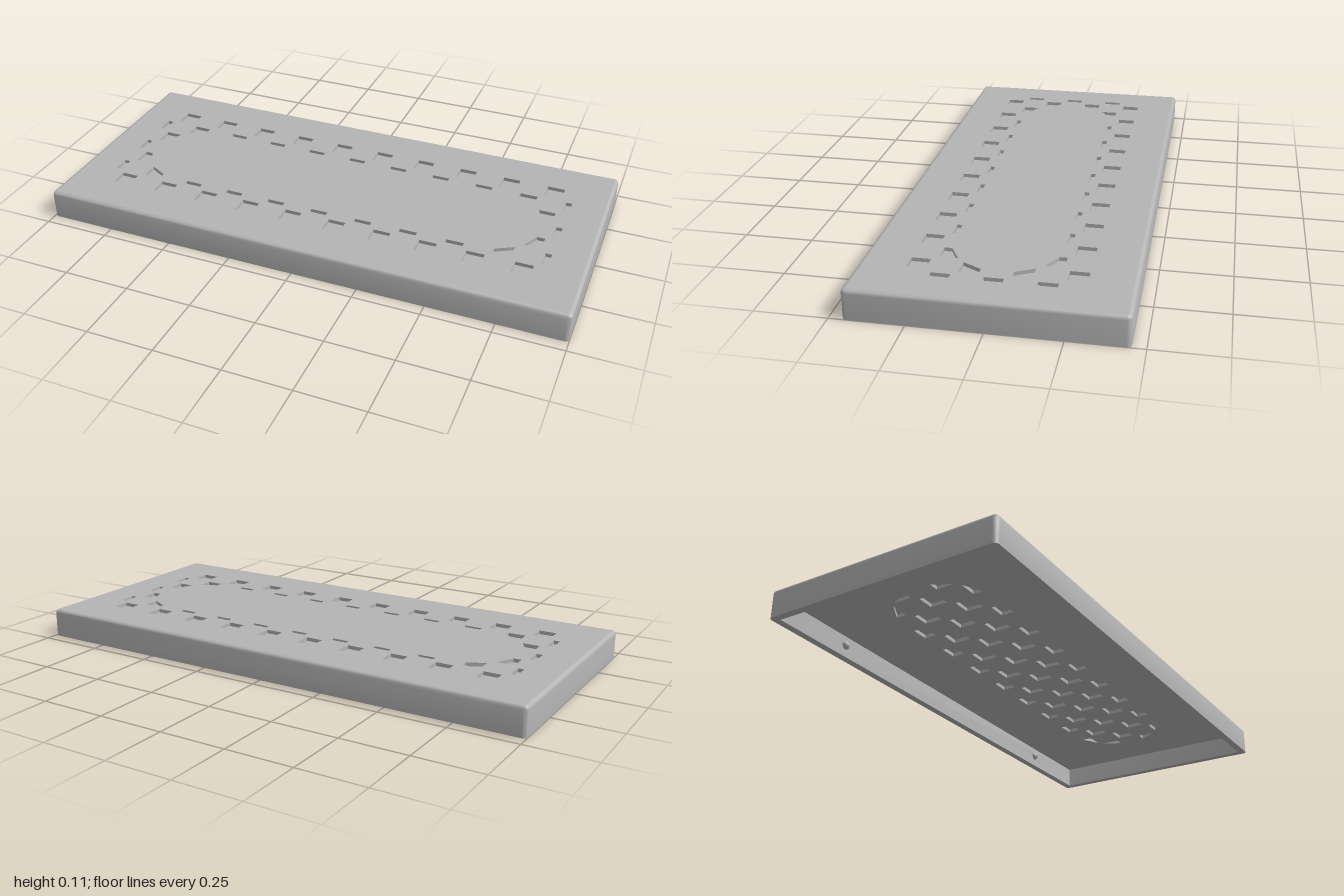
import * as THREE from 'three';
import { toCreasedNormals } from 'three/addons/utils/BufferGeometryUtils.js';

const HX = 1, HZ = 0.455, TOP = 0.107, MID = 0.0935, CEILING = 0.08;
const WALL = 0.028, ROUND = 0.014;

// Rounded rectangle outline, moved inwards by inset
function outline(inset) {
  const r = Math.max(ROUND + 0.002 - inset, 0.002), points = [];
  for (let corner = 0; corner < 4; corner++) {
    const sx = corner === 0 || corner === 3 ? 1 : -1, sz = corner < 2 ? 1 : -1;
    for (let i = 0; i <= 4; i++) {
      const a = (corner + i / 4) * Math.PI / 2;
      points.push(new THREE.Vector2(
        sx * (HX - inset - r) + r * Math.cos(a),
        sz * (HZ - inset - r) + r * Math.sin(a)));
    }
  }
  return points;
}

// Sweep of the wall profile [inset, y] around the outline
function rimGeometry() {
  const profile = [[WALL, CEILING], [WALL, 0], [0, 0]];
  for (let i = 0; i <= 4; i++) {
    const a = i / 4 * Math.PI / 2;
    profile.push([ROUND * (1 - Math.cos(a)), TOP - ROUND * (1 - Math.sin(a))]);
  }
  const positions = [], index = [], n = outline(0).length;
  for (const [inset, y] of profile) {
    for (const p of outline(inset)) positions.push(p.x, y, p.y);
  }
  for (let i = 0; i < profile.length - 1; i++) {
    for (let j = 0; j < n; j++) {
      const k = (j + 1) % n, a = i * n + j, b = a + n, c = i * n + k, d = c + n;
      index.push(a, b, c, b, d, c);
    }
  }
  const geometry = new THREE.BufferGeometry();
  geometry.setAttribute('position', new THREE.Float32BufferAttribute(positions, 3));
  geometry.setIndex(index);
  return toCreasedNormals(geometry, 0.6);
}

// Signed distance to the central island, an oblong with round ends
const island = (p) => Math.hypot(Math.max(Math.abs(p.x) - 0.61, 0), p.y) - 0.19;

// Keep the part of a polygon where f is negative
function clip(polygon, f) {
  const result = [];
  polygon.forEach((p, i) => {
    const q = polygon[(i + 1) % polygon.length], fp = f(p), fq = f(q);
    if (fp < 0) result.push(p);
    if (fp * fq < 0) result.push(p.clone().lerp(q, fp / (fp - fq)));
  });
  return result;
}

// Staggered square openings, either inside or outside the island
function openings(inside) {
  const pitch = 0.0875, h = 0.033, holes = [];
  for (let row = -3; row <= 3; row++) {
    for (let col = -10; col <= 10; col++) {
      if ((row + col) % 2 !== 0) continue;
      const x = col * pitch, z = row * pitch;
      let polygon = [[-h, -h], [h, -h], [h, h], [-h, h]].map(([u, v]) => new THREE.Vector2(x + u, z + v));
      polygon = clip(polygon, (p) => inside ? island(p) : -island(p));
      polygon = clip(polygon, (p) => Math.abs(p.x) - 0.865);
      if (polygon.length > 2) holes.push(new THREE.Path(polygon));
    }
  }
  return holes;
}

// Flat perforated panel between two heights
function panelGeometry(inset, y0, y1, holes) {
  const shape = new THREE.Shape(outline(inset));
  shape.holes = holes;
  const geometry = new THREE.ExtrudeGeometry(shape, { depth: y1 - y0, bevelEnabled: false });
  geometry.rotateX(-Math.PI / 2);
  geometry.translate(0, y0, 0);
  return geometry;
}

export function createModel() {
  const model = new THREE.Group();
  model.name = 'perforatedCover';
  const grey = new THREE.MeshStandardMaterial({ color: 0xb4b4b4 });
  grey.name = 'lightGrey';

  const add = (name, geometry) => {
    const mesh = new THREE.Mesh(geometry, grey);
    mesh.name = name;
    model.add(mesh);
    return mesh;
  };

  add('rim', rimGeometry());

  // Top panel is open around the island, lower panel is open beneath it
  add('topPanel', panelGeometry(ROUND, MID, TOP, openings(false)));
  add('lowerPanel', panelGeometry(WALL - 0.006, CEILING, MID, openings(true)));

  // Small snap bumps on the inner long walls
  for (const sx of [-1, 1]) {
    for (const sz of [-1, 1]) {
      const bump = add('snapBump', new THREE.SphereGeometry(0.016, 16, 12));
      bump.position.set(sx * 0.65, 0.045, sz * (HZ - WALL));
    }
  }
  return model;
}
